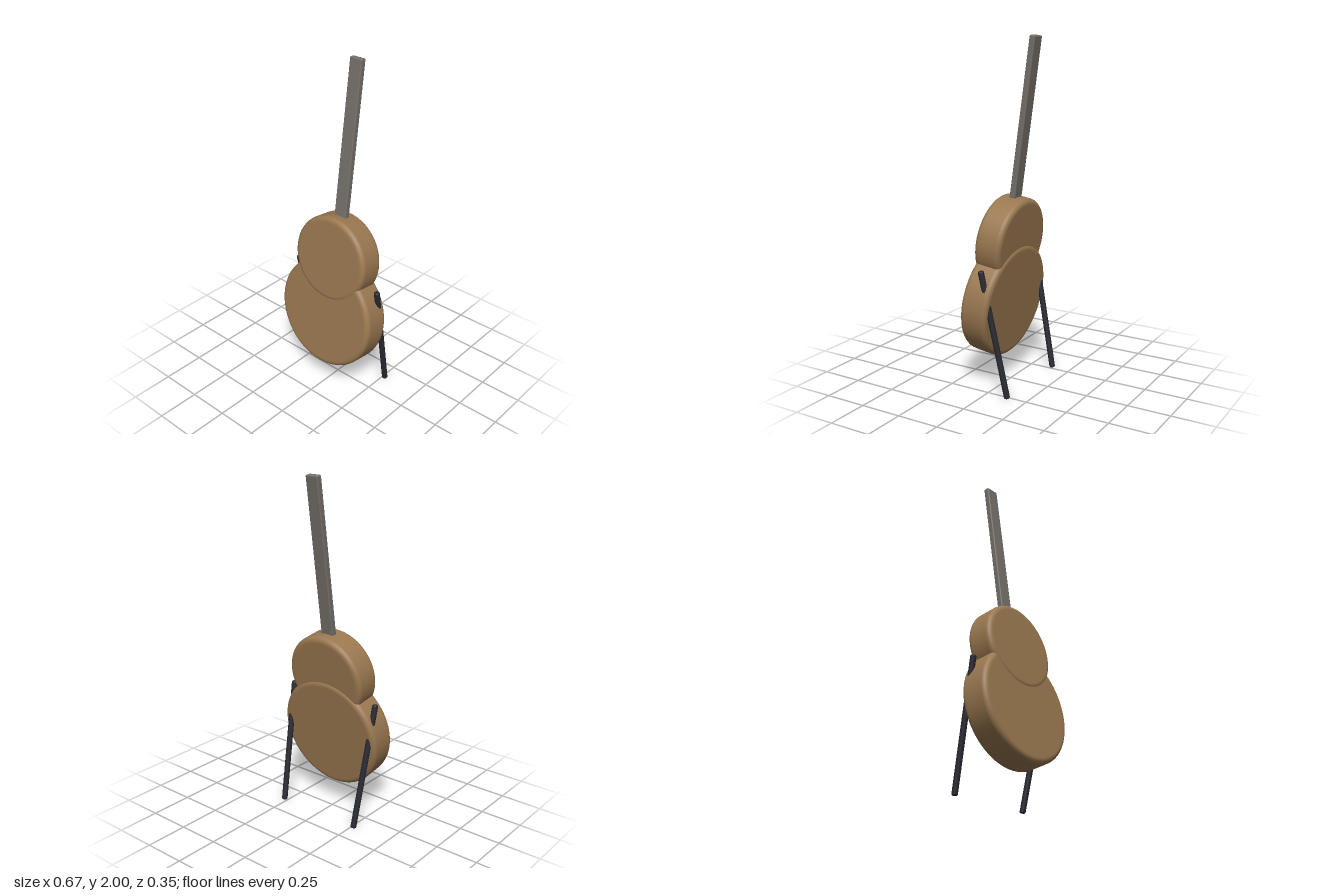
import * as THREE from 'three';
import { RoundedBoxGeometry } from 'three/addons/geometries/RoundedBoxGeometry.js';

// Solid round bar or disc along y, with its rims rounded by radius b
function roundedCylinder(radius, height, b, segments) {
  const h = height / 2;
  const points = [new THREE.Vector2(0, -h), new THREE.Vector2((radius - b) * 0.98, -h)];
  for (const [start, cy] of [[-Math.PI / 2, -h + b], [0, h - b]]) {
    for (let i = 0; i <= 6; i++) {
      const a = start + (i / 6) * Math.PI / 2;
      points.push(new THREE.Vector2(radius - b + b * Math.cos(a), cy + b * Math.sin(a)));
    }
  }
  points.push(new THREE.Vector2((radius - b) * 0.98, h), new THREE.Vector2(0, h));
  return new THREE.LatheGeometry(points, segments);
}

function addMesh(parent, name, geometry, material) {
  const mesh = new THREE.Mesh(geometry, material);
  mesh.name = name;
  parent.add(mesh);
  return mesh;
}

export function createModel() {
  const wood = new THREE.MeshStandardMaterial({ color: 0x9a7850 });
  wood.name = 'brown wood';
  const grey = new THREE.MeshStandardMaterial({ color: 0x75706a });
  grey.name = 'warm grey';
  const dark = new THREE.MeshStandardMaterial({ color: 0x292932 });
  dark.name = 'dark metal';

  const model = new THREE.Group();
  model.name = 'instrumentOnStand';

  // Instrument, leaning back on its stand
  const instrument = new THREE.Group();
  instrument.name = 'instrument';
  instrument.position.set(0, 0.5, 0.047);
  instrument.rotation.x = THREE.MathUtils.degToRad(-8);
  model.add(instrument);

  // Two overlapping discs form the body
  const lower = addMesh(instrument, 'lowerBody', roundedCylinder(0.336, 0.17, 0.03, 64), wood);
  lower.rotation.x = Math.PI / 2;
  const upper = addMesh(instrument, 'upperBody', roundedCylinder(0.257, 0.166, 0.03, 64), wood);
  upper.rotation.x = Math.PI / 2;
  upper.position.set(0, 0.353, 0.006);

  // Plain neck
  const neckBottom = 0.55, neckTop = 1.512;
  const neck = addMesh(instrument, 'neck',
    new RoundedBoxGeometry(0.083, neckTop - neckBottom, 0.036, 3, 0.008), grey);
  neck.position.set(0, (neckBottom + neckTop) / 2, 0.006);

  // Straight stand legs passing through the sides of the body
  for (const side of [-1, 1]) {
    const foot = new THREE.Vector3(side * 0.267, 0.004, -0.137);
    const tip = new THREE.Vector3(side * 0.302, 0.733, 0.012);
    const leg = addMesh(model, side > 0 ? 'leftLeg' : 'rightLeg',
      roundedCylinder(0.017, foot.distanceTo(tip), 0.01, 20), dark);
    leg.position.copy(foot).add(tip).multiplyScalar(0.5);
    leg.quaternion.setFromUnitVectors(new THREE.Vector3(0, 1, 0), tip.clone().sub(foot).normalize());
  }
  return model;
}
